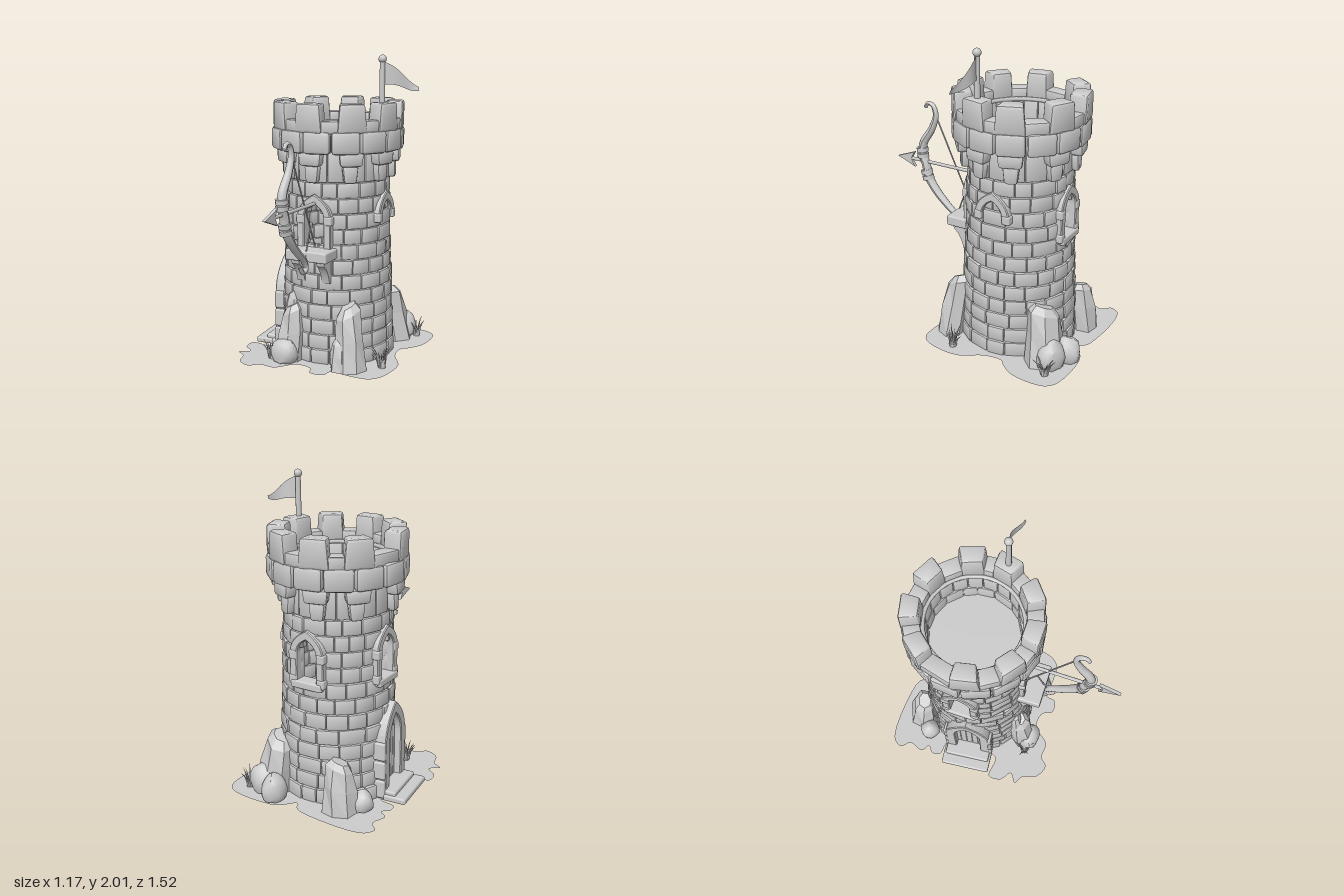
import * as THREE from 'three';
import { mergeGeometries, toCreasedNormals } from 'three/addons/utils/BufferGeometryUtils.js';
import { RoundedBoxGeometry } from 'three/addons/geometries/RoundedBoxGeometry.js';

const CX = -0.028, CZ = -0.205, TAU = Math.PI * 2;
const grey = new THREE.MeshStandardMaterial({ color: 0xcccccc });
const thin = new THREE.MeshStandardMaterial({ color: 0xcccccc, side: THREE.DoubleSide });
const facet = new THREE.MeshStandardMaterial({ color: 0xcccccc, flatShading: true });
let seed = 7;
const rand = () => (seed = (seed * 16807) % 2147483647) / 2147483647;
const V = (x, y, z) => new THREE.Vector3(x, y, z);
const wallR = y => 0.34 + 0.05 * Math.pow(Math.max(0, 1 - y / 1.2), 1.3);

function add(parent, name, geo, mat = grey) {
  const m = new THREE.Mesh(geo, mat);
  m.name = name;
  parent.add(m);
  return m;
}

function warp(geo, rule) {
  const p = geo.attributes.position, v = V(0, 0, 0);
  for (let i = 0; i < p.count; i++) {
    rule(v.fromBufferAttribute(p, i), i);
    p.setXYZ(i, v.x, v.y, v.z);
  }
  geo.computeVertexNormals();
  return geo;
}

// Bevelled stone bent round the tower axis; angle 0 faces the front
function stone(a, span, y0, y1, rIn, rOut, taper = 1, bevel = 0.011) {
  const w = span * rOut, h = y1 - y0, d = rOut - rIn;
  const geo = warp(new RoundedBoxGeometry(w, h, d, 1, bevel), v => {
    const t = v.y / h + 0.5, r = rIn + (v.z / d + 0.5) * d;
    const ang = a + (v.x / w) * span * (1 + (taper - 1) * t);
    v.set(r * Math.sin(ang), y0 + t * h, r * Math.cos(ang));
  });
  return toCreasedNormals(geo, 0.7);
}

// Tube whose radius follows a rule along its length
function taperTube(pts, radius, n = 40, sides = 8) {
  const curve = new THREE.CatmullRomCurve3(pts);
  const geo = new THREE.TubeGeometry(curve, n, 1, sides);
  return warp(geo, (v, i) => {
    const t = Math.floor(i / (sides + 1)) / n, c = curve.getPointAt(t);
    v.sub(c).multiplyScalar(radius(t)).add(c);
  });
}

const rod = (a, b, r) => new THREE.TubeGeometry(new THREE.LineCurve3(a, b), 1, r, 8);

// Pointed arch band, open at its foot
function archBand(out, inn, foot, spring, apex, depth) {
  const s = new THREE.Shape(), top = apex - (out - inn) * 1.2, k = (apex - spring) * 0.6;
  s.moveTo(-out, foot).lineTo(-out, spring);
  s.quadraticCurveTo(-out, spring + k, 0, apex).quadraticCurveTo(out, spring + k, out, spring);
  s.lineTo(out, foot).lineTo(inn, foot).lineTo(inn, spring);
  s.quadraticCurveTo(inn, spring + k * 0.75, 0, top).quadraticCurveTo(-inn, spring + k * 0.75, -inn, spring);
  s.lineTo(-inn, foot);
  return new THREE.ExtrudeGeometry(s, { depth, bevelSize: 0.006, bevelThickness: 0.006, bevelSegments: 1, curveSegments: 8 });
}

function block(parent, name, w, h, d, x, y, z, r = 0.012) {
  const m = add(parent, name, new RoundedBoxGeometry(w, h, d, 2, r));
  m.position.set(x, y, z);
  return m;
}

function buildWall(tower) {
  const openings = [
    { a: -Math.PI / 2 + 0.1, half: 0.3, y0: 0, y1: 0.5 },
    ...[-Math.PI / 2, 0, Math.PI].flatMap(a => [{ a, half: 0.21, y0: 0.8, y1: 1 }, { a, half: 0.12, y0: 1, y1: 1.1 }])
  ];
  const bricks = [], core = [];
  // Twelve even courses, then one tall course behind the corbels
  for (let row = 0; row < 13; row++) {
    const y = row * 0.1, h = row === 12 ? 0.2 : 0.1, R = wallR(y + 0.05);
    const gaps = openings.filter(o => y + 0.05 > o.y0 && y + 0.05 < o.y1);
    const spans = gaps.length ? gaps.map((g, i) => {
      const n = gaps[(i + 1) % gaps.length];
      return [g.a + g.half, n.a - n.half + (i === gaps.length - 1 ? TAU : 0)];
    }) : [[row * 0.18, row * 0.18 + TAU]];
    for (const [s, e] of spans) {
      const n = Math.round((e - s) / 0.37), step = (e - s) / n;
      core.push(new THREE.CylinderGeometry(wallR(y + h) - 0.012, wallR(y) - 0.012, h, 32, 1, true, s, e - s).translate(0, y + h / 2, 0));
      let b0 = s;
      for (let i = 1; i <= n; i++) {
        const b1 = i === n ? e : s + (i + (rand() - 0.5) * 0.35) * step;
        bricks.push(stone((b0 + b1) / 2, b1 - b0 - 0.007, y + 0.001, y + h - 0.001, R - 0.05, R + rand() * 0.009));
        b0 = b1;
      }
    }
  }
  add(tower, 'wallBricks', mergeGeometries(bricks));
  add(tower, 'wallMortar', mergeGeometries(core), thin);
}

function buildCrown(tower) {
  const angles = [0, 39, 76, 110, 154, 193, 230, 282, 323].map(d => d * Math.PI / 180);
  const corbels = [], merlons = [], fill = [], band = [], planks = [];
  angles.forEach((a, i) => {
    const next = i === 8 ? TAU : angles[i + 1];
    corbels.push(stone(a, 0.36, 1.31, 1.4, 0.3, 0.416, 1.15, 0.02), stone(a, 0.22, 1.2, 1.32, 0.3, 0.386, 1.35, 0.02));
    merlons.push(stone(a, 0.46, 1.52, 1.705, 0.316, 0.436, 0.84, 0.02));
    fill.push(stone((a + next) / 2, next - a - 0.4, 1.52, 1.6, 0.316, 0.424));
  });
  for (let i = 0; i < 14; i++)
    band.push(stone((i + 0.3) * TAU / 14, TAU / 14 - 0.012, 1.39, 1.535, 0.31, 0.436 + rand() * 0.01, 1, 0.024));
  for (let i = 0; i < 20; i++)
    planks.push(stone(i * TAU / 20, TAU / 20 - 0.015, 1.29, 1.52, 0.298, 0.315, 1, 0.006));
  add(tower, 'corbels', mergeGeometries(corbels));
  add(tower, 'crownBand', mergeGeometries(band));
  add(tower, 'merlons', mergeGeometries(merlons));
  add(tower, 'crenelStones', mergeGeometries(fill));
  // Inside of the parapet and the roof deck
  add(tower, 'parapetPlanks', mergeGeometries(planks));
  add(tower, 'parapetRim', new THREE.TorusGeometry(0.308, 0.014, 6, 40).rotateX(Math.PI / 2).translate(0, 1.53, 0));
  add(tower, 'roofDeck', new THREE.CircleGeometry(0.31, 40).rotateX(-Math.PI / 2).translate(0, 1.3, 0), thin);
}

function buildWindow(tower, name, a, blind, wideSill) {
  const g = new THREE.Group();
  g.name = name;
  g.rotation.y = a;
  add(g, 'windowArch', archBand(0.115, 0.075, blind ? 0.95 : 0.78, 0.97, 1.12, 0.08).translate(0, 0, 0.277));
  for (const s of [-1, 1]) {
    block(g, 'springStone', 0.055, 0.06, 0.1, s * 0.1, 0.96, 0.318);
    if (!blind && !wideSill) block(g, 'jambFoot', 0.055, 0.06, 0.1, s * 0.1, 0.8, 0.318);
  }
  if (wideSill) {
    block(g, 'sill', 0.295, 0.07, 0.19, 0, 0.745, 0.385);
    const s = new THREE.Shape().moveTo(0.32, 0.72).lineTo(0.45, 0.72).lineTo(0.44, 0.68);
    s.quadraticCurveTo(0.39, 0.65, 0.365, 0.55).lineTo(0.32, 0.55);
    for (const x of [-0.09, 0.09])
      add(g, 'sillBracket', new THREE.ExtrudeGeometry(s, { depth: 0.055, bevelEnabled: false }).rotateY(-Math.PI / 2).translate(x + 0.0275, 0, 0));
  } else if (!blind) block(g, 'sill', 0.22, 0.05, 0.1, 0, 0.775, 0.325);
  tower.add(g);
}

function buildDoor(tower) {
  const g = new THREE.Group();
  g.name = 'doorway';
  g.rotation.y = -Math.PI / 2 + 0.1;
  add(g, 'doorArch', archBand(0.15, 0.095, 0, 0.36, 0.61, 0.09).translate(0, 0, 0.31));
  for (let i = -2; i <= 2; i++) block(g, 'doorPlank', 0.042, 0.56 - Math.abs(i) * 0.05, 0.03, i * 0.042, 0.28 - Math.abs(i) * 0.025, 0.345, 0.006);
  for (const s of [-1, 1]) for (const y of [0.07, 0.2, 0.33])
    block(g, 'doorQuoin', 0.075, 0.12, 0.1, s * 0.135, y, 0.355);
  block(g, 'upperStep', 0.32, 0.065, 0.14, 0, 0.033, 0.405);
  block(g, 'lowerStep', 0.35, 0.04, 0.15, 0, 0.02, 0.472);
  tower.add(g);
}

// Seven-sided rock with a chamfered, slanted top, leaning by (lx, lz)
function slab(root, x, z, w, h, d, turn, lx, lz) {
  const profile = [[0.53, 0], [0.5, 0.5], [0.42, 0.88], [0.25, 1], [0, 1]].map(p => new THREE.Vector2(...p));
  const geo = warp(new THREE.LatheGeometry(profile, 7), v => {
    const k = 1 + 0.08 * Math.sin(v.x * 9 + v.y * 7 + turn * 5);
    v.set(v.x * w * k, v.y * h * (1 + 0.25 * v.x), v.z * d * k);
  }).rotateY(turn);
  warp(geo, v => v.set(v.x + lx * v.y + x, v.y, v.z + lz * v.y + z));
  add(root, 'standingRock', geo, facet);
}

function boulder(root, x, z, w, h, d) {
  const geo = warp(new THREE.IcosahedronGeometry(0.5, 2), v => {
    const k = 1 + 0.07 * Math.sin(v.x * 8 + x * 20) * Math.cos(v.z * 7 + v.y * 6);
    v.set(x + v.x * w * k, Math.max(0, h * 0.35 + v.y * h * 1.3 * k), z + v.z * d * k);
  });
  add(root, 'boulder', toCreasedNormals(geo, 0.6));
}

function grass(root, x, z) {
  const blades = [];
  for (let i = 0; i < 13; i++) {
    const a = i * 2.4, s = 0.03 + rand() * 0.05, h = 0.07 + rand() * 0.07, c = Math.cos(a), d = Math.sin(a);
    blades.push(taperTube([V(x + c * 0.015, 0, z + d * 0.015), V(x + c * s * 0.6, h * 0.7, z + d * s * 0.6), V(x + c * s, h, z + d * s)], t => 0.009 * (1 - t) + 0.001, 5, 4));
  }
  add(root, 'grassTuft', mergeGeometries(blades));
}

function buildBow(root) {
  const g = new THREE.Group(), X = -0.015;
  g.name = 'bowAndArrow';
  const pts = [[0.52, 1.455], [0.5, 1.485], [0.46, 1.475], [0.44, 1.41], [0.475, 1.31], [0.545, 1.2], [0.555, 1.12], [0.53, 1.05], [0.51, 0.96],
    [0.45, 0.87], [0.37, 0.79], [0.3, 0.73], [0.268, 0.67], [0.3, 0.645], [0.35, 0.7]].map(([z, y]) => V(X, y, z));
  add(g, 'bowStave', taperTube(pts, t => 0.012 + 0.019 * Math.sin(Math.PI * t), 70, 10));
  for (const [z, y, tilt] of [[0.555, 1.13, 0.1], [0.52, 0.975, 0.25]]) for (const s of [-1, 1]) {
    const m = add(g, 'gripWrap', new THREE.CylinderGeometry(0.04, 0.04, 0.03, 12));
    m.position.set(X, y + s * 0.02, z + s * 0.02 * tilt);
    m.rotation.x = tilt;
  }
  add(g, 'bowString', mergeGeometries([
    rod(V(X, 1.4, 0.435), V(X, 0.77, 0.14), 0.005), rod(V(X, 0.72, 0.285), V(X, 0.93, 0.205), 0.005)]));
  add(g, 'arrowShaft', rod(V(X, 1.068, 0.1), V(X, 1.068, 0.68), 0.012));
  const head = new THREE.Shape().moveTo(0.76, 1.068).lineTo(0.62, 1.12).lineTo(0.65, 1.068).lineTo(0.62, 1.016);
  add(g, 'arrowHead', new THREE.ExtrudeGeometry(head, { depth: 0.012, bevelSize: 0.003, bevelThickness: 0.005, bevelSegments: 1 })
    .rotateY(-Math.PI / 2).translate(X + 0.006, 0, 0));
  root.add(g);
}

function buildFlag(root) {
  const g = new THREE.Group();
  g.name = 'flag';
  add(g, 'flagPole', new THREE.CylinderGeometry(0.017, 0.019, 0.46, 12).translate(0.33, 1.73, -0.107));
  add(g, 'poleBall', new THREE.SphereGeometry(0.026, 16, 12).translate(0.33, 1.974, -0.107));
  // Tapering pennant with a wave along its length
  add(g, 'pennant', warp(new THREE.PlaneGeometry(1, 1, 16, 4), v => {
    const t = v.x + 0.5, h = 0.073 - 0.062 * t;
    v.set(0.335 + t * 0.25, 1.887 - 0.09 * t + 0.008 * Math.sin(t * 6) + v.y * 2 * h, -0.107 - 0.02 * Math.sin(t * 4.5) * (1 - v.y * 0.4));
  }), thin);
  root.add(g);
}

function buildGround(root) {
  const edge = [[-.57, -.66], [-.52, -.73], [-.1, -.73], [-.03, -.7], [0, -.65], [.1, -.74], [.43, -.74], [.5, -.68], [.5, -.46], [.44, -.36],
    [.4, -.32], [.41, -.2], [.5, -.04], [.48, .19], [.42, .26], [.3, .27], [.16, .26], [.14, .33], [.05, .34], [.01, .27], [-.1, .26],
    [-.2, .37], [-.31, .37], [-.37, .42], [-.46, .38], [-.5, .28], [-.56, .24], [-.5, .19], [-.57, .13], [-.57, .04], [-.42, .04],
    [-.42, -.33], [-.53, -.36], [-.54, -.42], [-.5, -.46], [-.55, -.5], [-.52, -.6]].map(([x, z]) => V(x, -z, 0));
  const outline = new THREE.CatmullRomCurve3(edge, true, 'centripetal').getPoints(180).slice(0, -1);
  const s = new THREE.Shape(outline.map(p => new THREE.Vector2(p.x, p.y)));
  s.holes.push(new THREE.Path().absarc(CX, -CZ, 0.35, 0, TAU, true));
  add(root, 'ground', new THREE.ShapeGeometry(s, 32).rotateX(-Math.PI / 2).translate(0, 0.001, 0), thin);
}

export function createModel() {
  seed = 7;
  const root = new THREE.Group(), tower = new THREE.Group();
  root.name = 'archerTower';
  tower.name = 'tower';
  tower.position.set(CX, 0, CZ);
  root.add(tower);
  buildWall(tower);
  buildCrown(tower);
  buildWindow(tower, 'frontWindow', 0.02, false, true);
  buildWindow(tower, 'backWindow', Math.PI, false, false);
  buildWindow(tower, 'rightWindow', -Math.PI / 2, false, false);
  buildWindow(tower, 'blindArch', Math.PI / 2, true, false);
  buildDoor(tower);
  // Rocks round the foot: front left, front right, back right, back left
  slab(root, -0.19, 0.18, 0.18, 0.37, 0.17, 0.2, 0.02, -0.1);
  slab(root, -0.19, 0.14, 0.14, 0.46, 0.09, 0.5, 0, -0.05);
  boulder(root, -0.2, 0.235, 0.19, 0.16, 0.15);
  slab(root, 0.255, 0.165, 0.19, 0.41, 0.18, 0.9, -0.12, -0.13);
  slab(root, 0.2, 0.19, 0.15, 0.21, 0.14, 1.4, -0.05, -0.1);
  slab(root, 0.25, -0.56, 0.25, 0.37, 0.22, -0.5, -0.12, 0.12);
  boulder(root, 0.16, -0.67, 0.16, 0.17, 0.18);
  boulder(root, 0.28, -0.61, 0.21, 0.19, 0.18);
  slab(root, -0.28, -0.585, 0.21, 0.32, 0.18, 0.5, 0.08, 0.1);
  boulder(root, -0.38, -0.49, 0.14, 0.13, 0.14);
  grass(root, 0.39, -0.63);
  grass(root, 0.42, 0.04);
  grass(root, -0.3, 0.23);
  buildBow(root);
  buildFlag(root);
  buildGround(root);
  return root;
}
